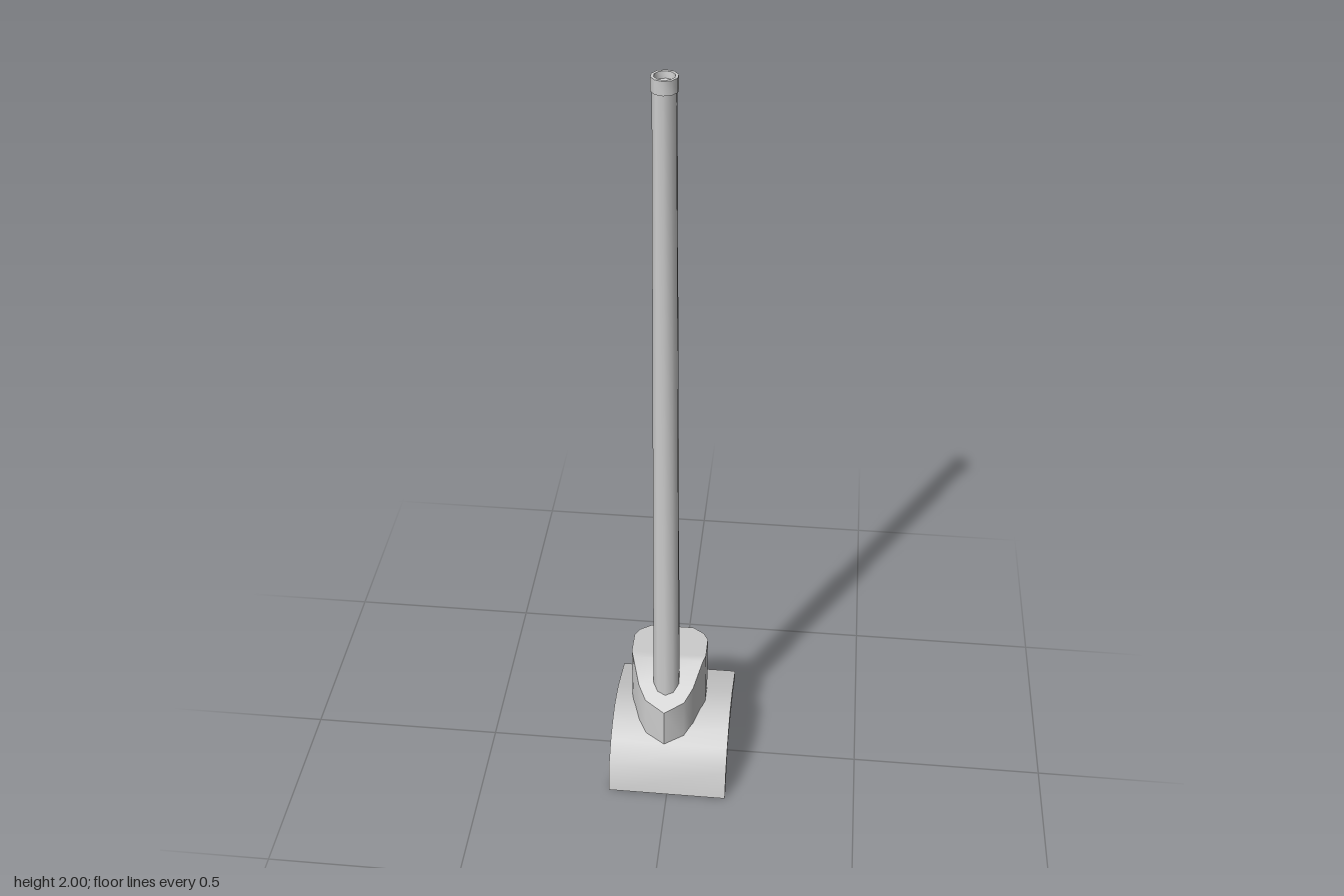
import * as THREE from 'three';
import { toCreasedNormals } from 'three/addons/utils/BufferGeometryUtils.js';

const CENTRE_X = -0.013; // socket and pole sit slightly off the plate's centre
const POLE_Z = 0.047;

function part(name, geometry, parent) {
  const material = new THREE.MeshStandardMaterial({ color: 0xcccccc });
  const mesh = new THREE.Mesh(toCreasedNormals(geometry, 0.8), material);
  mesh.name = name;
  parent.add(mesh);
  return mesh;
}

// Bent plate: side profile (z, y) extruded across x
function plateGeometry() {
  const width = 0.313;
  const profile = [
    [0.177, 0], [0.16, 0.08], [0.117, 0.13], [0.075, 0.157], [0.022, 0.175], [-0.055, 0.169], [-0.177, 0.131],
    [-0.172, 0.107], [-0.095, 0.135], [0, 0.137], [0.095, 0.124], [0.155, 0.002],
  ];
  const shape = new THREE.Shape(profile.map(([z, y]) => new THREE.Vector2(z, y)));
  const geometry = new THREE.ExtrudeGeometry(shape, { depth: width, bevelEnabled: false });
  return geometry.translate(0, 0, -width / 2).rotateY(-Math.PI / 2);
}

// Shield-shaped socket: rectangular cross-sections [z, half width] from back to front
function socketGeometry() {
  const rows = [
    [-0.118, 0.056], [-0.098, 0.086], [-0.075, 0.099], [-0.012, 0.099],
    [0.01, 0.093], [0.065, 0.072], [0.095, 0.051], [0.118, 0],
  ];
  const positions = [];
  const index = [];
  rows.forEach(([z, w], r) => {
    const top = 0.339 - Math.max(0, z - 0.01) * 0.87; // flat at the back, sloped in front
    const bottom = 0.14 - Math.max(0, z - 0.065) * 0.3;
    positions.push(w, top, z, -w, top, z, -w, bottom, z, w, bottom, z);
    if (r === 0) return;
    for (let i = 0; i < 4; i++) {
      const j = (i + 1) % 4;
      const back = (r - 1) * 4;
      const front = r * 4;
      index.push(back + i, back + j, front + j, back + i, front + j, front + i);
    }
  });
  index.push(0, 3, 2, 0, 2, 1); // back wall
  const geometry = new THREE.BufferGeometry();
  geometry.setAttribute('position', new THREE.Float32BufferAttribute(positions, 3));
  geometry.setIndex(index);
  return geometry;
}

// Ten-sided turned piece from [radius, y] pairs
function turned(profile) {
  return new THREE.LatheGeometry(profile.map(([r, y]) => new THREE.Vector2(r, y)), 10);
}

export function createModel() {
  const model = new THREE.Group();
  model.name = 'poleMount';

  part('basePlate', plateGeometry(), model);
  part('socket', socketGeometry(), model).position.x = CENTRE_X;

  const pole = new THREE.Group();
  pole.name = 'pole';
  pole.position.set(CENTRE_X, 0, POLE_Z);
  model.add(pole);

  // Tapered shaft, then a collar with a recessed bore
  part('shaft', turned([[0, 0.16], [0.036, 0.16], [0.027, 1.975], [0, 1.975]]), pole);
  part('collar', turned([
    [0.026, 1.968], [0.03, 1.968], [0.03, 2], [0.023, 2], [0.021, 1.985], [0.012, 1.979], [0, 1.977],
  ]), pole);

  return model;
}
